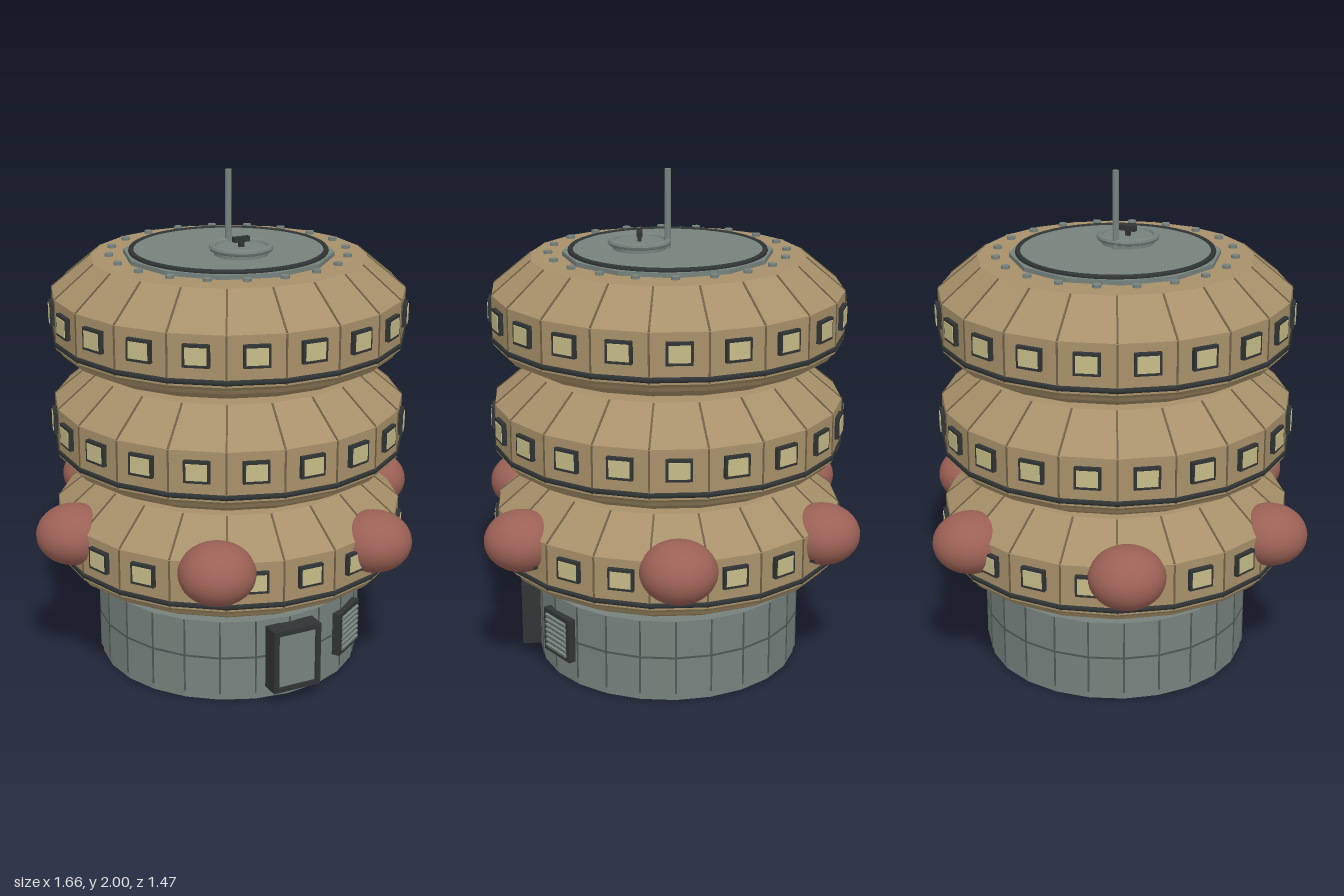
import * as THREE from 'three';

const mat = (name, color, flatShading = false) => {
  const m = new THREE.MeshStandardMaterial({ color, flatShading });
  m.name = name;
  return m;
};

export function createModel() {
  const tan = mat('tan shell', 0xa8916a, true);
  const seam = mat('seam brown', 0x6f6046);
  const grey = mat('grey metal', 0x76827d, true);
  const greySeam = mat('grey seam', 0x4f5856);
  const dark = mat('dark trim', 0x303434);
  const glass = mat('window glass', 0xc6bc88);
  const red = mat('red pod', 0x9c6156);

  const model = new THREE.Group();
  model.name = 'tower';

  const add = (parent, name, geo, material, x = 0, y = 0, z = 0) => {
    const m = new THREE.Mesh(geo, material);
    m.name = name;
    m.position.set(x, y, z);
    parent.add(m);
    return m;
  };
  const box = (w, h, d) => new THREE.BoxGeometry(w, h, d);
  const disc = (r, h, n) => new THREE.CylinderGeometry(r, r, h, n);
  const ring = (r, t, n) => new THREE.TorusGeometry(r, t, 8, n).rotateX(Math.PI / 2);
  // Group turned to face outward at an angle from the front
  const spoke = (parent, name, angle) => {
    const g = new THREE.Group();
    g.name = name;
    g.rotation.y = angle;
    parent.add(g);
    return g;
  };

  // Base drum with panel seams
  const base = new THREE.Group();
  base.name = 'base';
  model.add(base);
  add(base, 'baseFoot', disc(0.53, 0.03, 24), grey, 0, 0.015);
  add(base, 'baseDrum', disc(0.538, 0.31, 24), grey, 0, 0.185);
  add(base, 'baseBelt', disc(0.54, 0.008, 24), greySeam, 0, 0.185);
  for (let i = 0; i < 24; i++) {
    const s = spoke(base, 'baseSeam', i * Math.PI / 12);
    add(s, 'baseSeamStrip', box(0.007, 0.308, 0.006), greySeam, 0, 0.185, 0.537);
  }

  // Door
  const door = spoke(model, 'door', 0);
  add(door, 'doorBack', box(0.205, 0.262, 0.06), dark, 0, 0.186, 0.56);
  add(door, 'doorPanel', box(0.16, 0.22, 0.012), grey, 0, 0.186, 0.592);
  for (const s of [-1, 1]) {
    add(door, 'doorJamb', box(0.022, 0.262, 0.02), dark, s * 0.0915, 0.186, 0.595);
    add(door, 'doorRail', box(0.205, 0.021, 0.02), dark, 0, 0.186 + s * 0.1205, 0.595);
  }

  // Louvred vent
  const vent = spoke(model, 'vent', 0.595);
  add(vent, 'ventFrame', box(0.175, 0.182, 0.04), dark, 0, 0.19, 0.54);
  for (let i = 0; i < 7; i++) {
    const slat = add(vent, 'ventSlat', box(0.135, 0.014, 0.012), grey, 0, 0.124 + i * 0.022, 0.562);
    slat.rotation.x = 0.3;
  }

  // Three floating storeys
  const profile = [[0, 0], [0.585, 0], [0.665, 0.042], [0.677, 0.06], [0.695, 0.075],
    [0.695, 0.27], [0.538, 0.4], [0, 0.4]].map(([r, y]) => new THREE.Vector2(r, y));
  const shell = new THREE.LatheGeometry(profile, 20, Math.PI / 20);
  const band = ring(0.689, 0.013, 20).rotateY(Math.PI / 20);
  const slope = Math.atan2(-0.157, 0.13);
  for (let t = 0; t < 3; t++) {
    const tier = new THREE.Group();
    tier.name = 'storey';
    tier.position.y = 0.385 + t * 0.44;
    model.add(tier);
    add(tier, 'shell', shell, tan);
    add(tier, 'darkBand', band, dark, 0, 0.093);
    for (let i = 0; i < 20; i++) {
      const w = spoke(tier, 'window', i * Math.PI / 10);
      add(w, 'windowFrame', box(0.1, 0.086, 0.03), dark, 0, 0.193, 0.689);
      add(w, 'windowPane', box(0.08, 0.064, 0.006), glass, 0, 0.193, 0.704);
      const s = spoke(tier, 'shellSeam', (i + 0.5) * Math.PI / 10);
      add(s, 'wallSeam', box(0.007, 0.19, 0.006), seam, 0, 0.173, 0.694);
      add(s, 'slopeSeam', box(0.007, 0.2, 0.006), seam, 0, 0.335, 0.6165).rotation.x = slope;
    }
  }

  // Rounded pods around the lowest storey
  const podGeo = new THREE.SphereGeometry(0.148, 32, 24).scale(1, 0.8, 1);
  for (let i = 0; i < 6; i++) {
    const p = spoke(model, 'pod', Math.PI / 6 + i * Math.PI / 3);
    add(p, 'podBall', podGeo, red, 0, 0.612, 0.68);
  }

  // Roof plate, rim and bolts
  const roof = new THREE.Group();
  roof.name = 'roof';
  model.add(roof);
  add(roof, 'roofPlate', disc(0.413, 0.02, 12), grey, 0, 1.672);
  add(roof, 'roofDisc', disc(0.38, 0.02, 48), grey, 0, 1.68);
  add(roof, 'roofRim', ring(0.38, 0.011, 48), dark, 0, 1.686);
  for (let i = 0; i < 20; i++) {
    const s = spoke(roof, 'bolt', i * Math.PI / 10);
    add(s, 'boltHead', disc(0.017, 0.012, 10), grey, 0, 1.68, 0.467);
  }

  // Hatch with handle
  add(roof, 'hatchBase', disc(0.105, 0.03, 24), grey, 0, 1.703, 0.11);
  add(roof, 'hatchRim', ring(0.112, 0.013, 24), grey, 0, 1.717, 0.11);
  add(roof, 'hatchPost', box(0.02, 0.03, 0.014), dark, 0, 1.728, 0.11);
  add(roof, 'hatchHandle', box(0.066, 0.02, 0.022), dark, 0, 1.748, 0.11);

  // Antenna
  add(roof, 'antenna', disc(0.0125, 0.32, 10), grey, 0, 1.84);

  return model;
}
